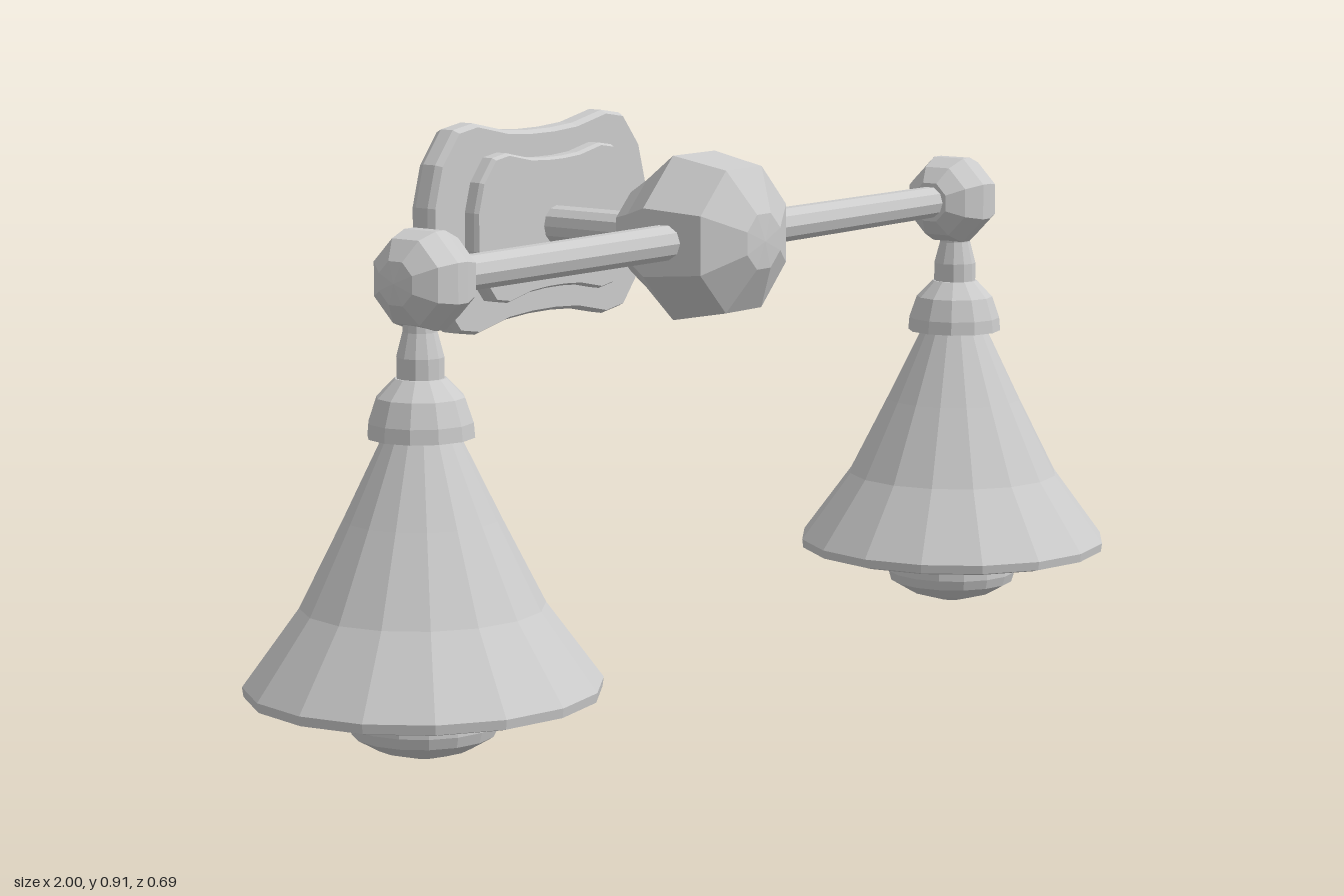
import * as THREE from 'three';

const material = new THREE.MeshStandardMaterial({ color: 0xcccccc, flatShading: true });

function add(parent, name, geometry) {
  const mesh = new THREE.Mesh(geometry, material);
  mesh.name = name;
  parent.add(mesh);
  return mesh;
}

// Turned solid from [radius, height] pairs listed bottom to top
function turned(points, sides, phase = 0) {
  return new THREE.LatheGeometry(points.map(([r, h]) => new THREE.Vector2(r, h)), sides, phase);
}

// Turned octagonal knob; radii are measured to the flats
function octagonal(points) {
  const k = 1 / Math.cos(Math.PI / 8);
  return turned(points.map(([r, h]) => [r * k, h]), 8, Math.PI / 8);
}

// Waisted wall plate, mirrored from one quarter outline
function plate(scaleX, scaleY, depth, bevel) {
  const quarter = [[0.285, 0.045], [0.265, 0.115], [0.22, 0.17], [0.17, 0.178], [0.09, 0.161], [0.03, 0.157]];
  const right = [...quarter.map(([x, y]) => [x, -y]).reverse(), ...quarter];
  const outline = [...right, ...right.map(([x, y]) => [-x, -y])];
  const shape = new THREE.Shape(outline.map(([x, y]) => new THREE.Vector2(x * scaleX, y * scaleY)));
  const geometry = new THREE.ExtrudeGeometry(shape, {
    depth: depth - 2 * bevel, bevelThickness: bevel, bevelSize: bevel / 2,
    bevelOffset: -bevel / 2, bevelSegments: 1,
  });
  return geometry.translate(0, 0, bevel);
}

// One side: rod, end knob and hanging lamp, built towards +x
function createArm() {
  const arm = new THREE.Group();

  const rod = new THREE.CylinderGeometry(0.028, 0.03, 0.62, 10).rotateZ(-Math.PI / 2);
  add(arm, 'rod', rod).position.set(0.36, 0.733, 0);

  const knob = octagonal([
    [0, 0.64], [0.034, 0.64], [0.06, 0.664], [0.075, 0.7], [0.075, 0.722],
    [0.064, 0.755], [0.033, 0.778], [0, 0.783],
  ]).rotateZ(-Math.PI / 2);
  add(arm, 'endKnob', knob).position.y = 0.733;

  const lamp = new THREE.Group();
  lamp.name = 'lamp';
  lamp.position.x = 0.724;
  arm.add(lamp);

  add(lamp, 'neck', turned([[0.037, 0.575], [0.037, 0.617], [0.027, 0.655], [0.025, 0.69]], 12));
  add(lamp, 'cap', turned([
    [0, 0.495], [0.083, 0.495], [0.081, 0.518], [0.068, 0.556], [0.04, 0.585], [0, 0.587],
  ], 12));

  // Inner wall downwards, rolled rim, then outer wall upwards
  add(lamp, 'shade', turned([
    [0.045, 0.495], [0.106, 0.37], [0.174, 0.235], [0.245, 0.122], [0.245, 0.1],
    [0.257, 0.095], [0.274, 0.1], [0.276, 0.115],
    [0.188, 0.235], [0.12, 0.37], [0.057, 0.5],
  ], 16));

  add(lamp, 'bulb', turned([
    [0, 0], [0.024, 0], [0.075, 0.015], [0.111, 0.036], [0.116, 0.053],
    [0.112, 0.12], [0.1, 0.27], [0.07, 0.36], [0.04, 0.48],
  ], 16));
  return arm;
}

export function createModel() {
  const model = new THREE.Group();
  model.name = 'wallLight';

  // Wall mount in two layers
  add(model, 'backPlate', plate(1, 1, 0.05, 0.012)).position.set(0, 0.732, -0.343);
  add(model, 'frontPlate', plate(0.72, 0.71, 0.04, 0.008)).position.set(0, 0.732, -0.305);

  const stem = new THREE.CylinderGeometry(0.033, 0.033, 0.24, 12).rotateX(Math.PI / 2);
  add(model, 'stem', stem).position.set(0, 0.728, -0.16);

  // Central faceted hub facing forward
  const hub = octagonal([
    [0, -0.082], [0.066, -0.082], [0.09, -0.04], [0.136, 0.03],
    [0.117, 0.133], [0.045, 0.174], [0, 0.177],
  ]).rotateX(Math.PI / 2);
  add(model, 'hub', hub).position.y = 0.731;

  // Two matching arms
  for (const [name, turn] of [['leftArm', 0], ['rightArm', Math.PI]]) {
    const arm = createArm();
    arm.name = name;
    arm.position.z = 0.067;
    arm.rotation.y = turn;
    model.add(arm);
  }
  return model;
}
